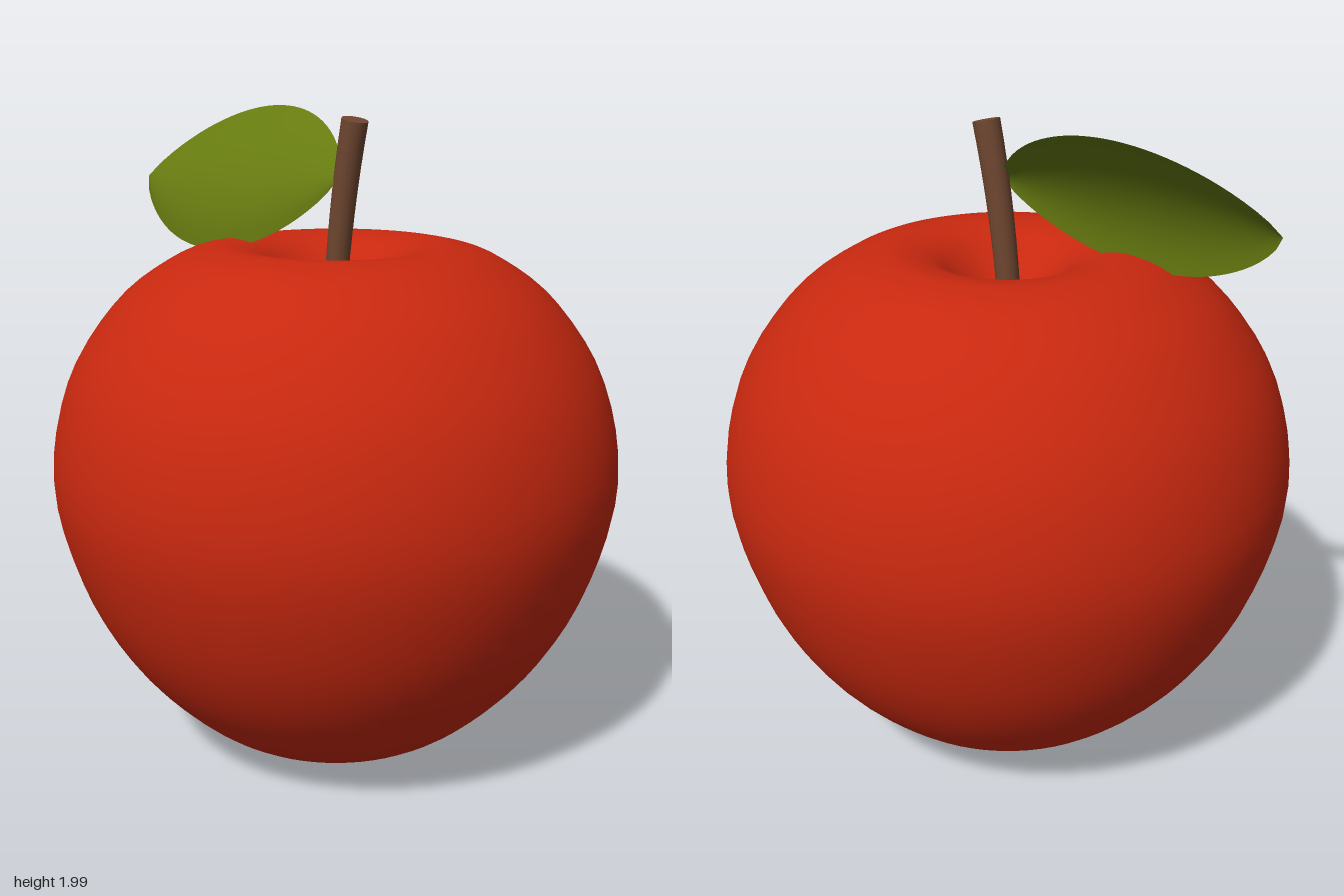
import * as THREE from 'three';

const skinRed = new THREE.MeshStandardMaterial({ color: 0xc8280f });
const stemBrown = new THREE.MeshStandardMaterial({ color: 0x6e4630 });
const leafGreen = new THREE.MeshStandardMaterial({ color: 0x667a10 });
leafGreen.side = THREE.DoubleSide;

// Moves every vertex of a geometry by a rule and refreshes the normals
function reshape(geometry, rule) {
  const p = geometry.attributes.position;
  const v = new THREE.Vector3();
  for (let i = 0; i < p.count; i++) {
    rule(v.fromBufferAttribute(p, i));
    p.setXYZ(i, v.x, v.y, v.z);
  }
  geometry.computeVertexNormals();
  return geometry;
}

// Round body with a shallow hollow below and a deeper one around the stem
function makeBody() {
  const profile = [
    [0, 0.06], [0.07, 0.045], [0.14, 0.015], [0.22, 0.003], [0.34, 0.035], [0.5, 0.14],
    [0.68, 0.34], [0.81, 0.59], [0.878, 0.9], [0.82, 1.2], [0.67, 1.43],
    [0.5, 1.557], [0.38, 1.597], [0.3, 1.598], [0.22, 1.573], [0.15, 1.52], [0.08, 1.465], [0, 1.44],
  ].map(([r, y]) => new THREE.Vector2(r, y));
  const points = new THREE.SplineCurve(profile).getPoints(72);
  points.forEach((p) => { p.x = Math.max(p.x, 0); });
  points[0].x = points[points.length - 1].x = 0;
  return new THREE.LatheGeometry(points, 72);
}

// Stem: a cylinder that widens upwards and leans over towards +x
function makeStem() {
  const base = 1.42, height = 0.55;
  const stem = new THREE.CylinderGeometry(0.04, 0.035, height, 20, 8);
  return reshape(stem, (v) => {
    const t = v.y / height + 0.5;
    const slope = (0.03 + 0.09 * t) / height;
    v.y = base + height * t - v.x * slope;
    v.x += -0.005 + 0.03 * t + 0.045 * t * t;
    v.z -= 0.012 * t;
  });
}

// Leaf: a pointed sheet, tilted back at the top and bulging along its midrib
function makeLeaf() {
  const base = new THREE.Vector3(0.03, 1.8, 0.015);
  const tip = new THREE.Vector3(-0.82, 1.755, 0.125);
  return reshape(new THREE.PlaneGeometry(1, 2, 32, 12), (v) => {
    const t = 0.5 - v.x, s = v.y;
    const w = Math.pow(Math.max(4 * t * (1 - t), 0), 0.75);
    v.lerpVectors(base, tip, t);
    v.y += w * (0.217 * s + 0.02 * (1 - s * s));
    v.z += w * (-0.135 * s + 0.07 * (1 - s * s) - 0.027);
  });
}

export function createModel() {
  const model = new THREE.Group();
  model.name = 'apple';
  const parts = [
    ['body', makeBody(), skinRed],
    ['stem', makeStem(), stemBrown],
    ['leaf', makeLeaf(), leafGreen],
  ];
  for (const [name, geometry, material] of parts) {
    const mesh = new THREE.Mesh(geometry, material);
    mesh.name = name;
    model.add(mesh);
  }
  return model;
}
